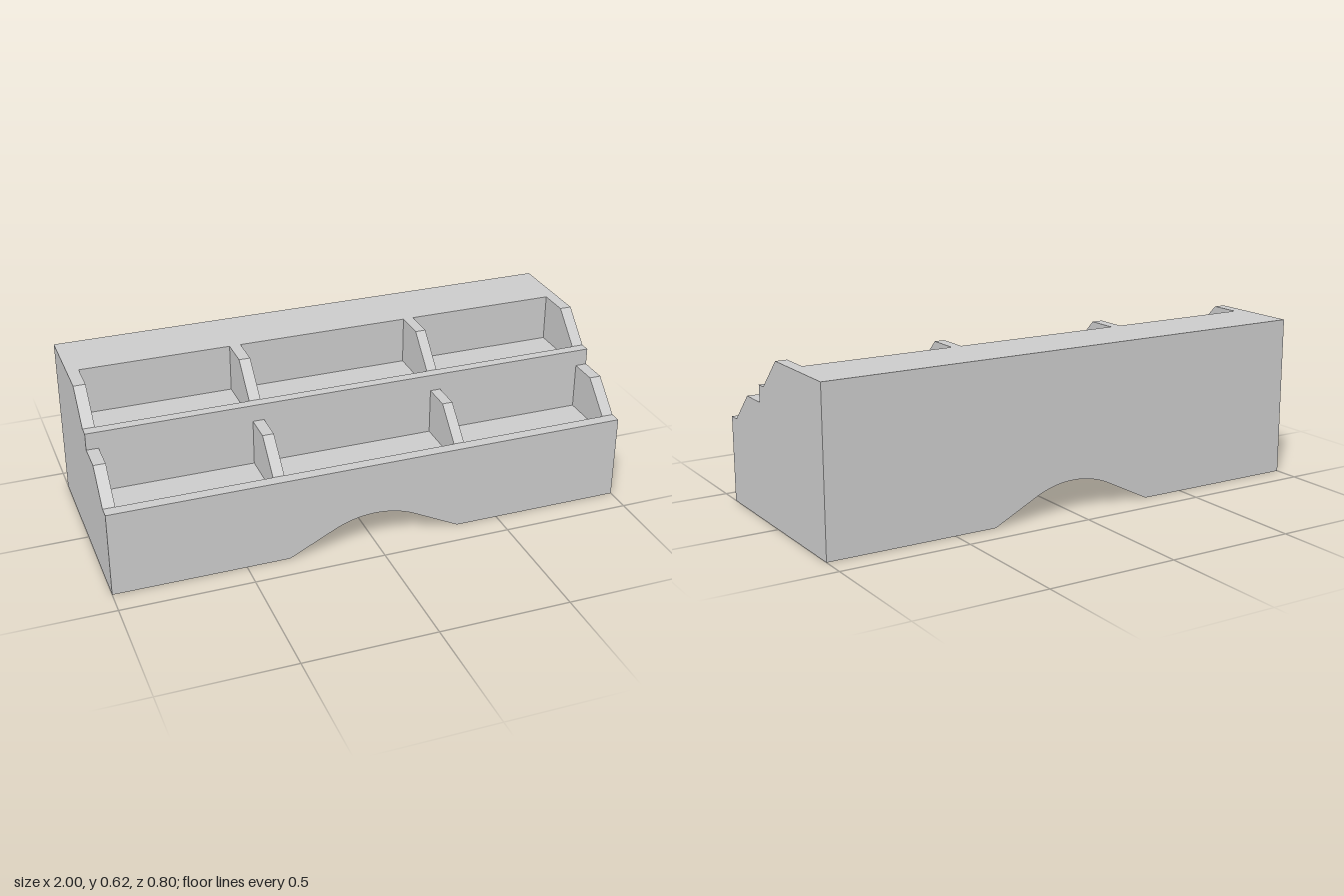
import * as THREE from 'three';
import { toCreasedNormals } from 'three/addons/utils/BufferGeometryUtils.js';

const material = new THREE.MeshStandardMaterial({ color: 0xcccccc });

function addMesh(group, name, geometry) {
  const mesh = new THREE.Mesh(geometry, material);
  mesh.name = name;
  group.add(mesh);
}

// Cross-section seen from the front: a flat-topped block with an arched cutout below
function archedBlock(top) {
  const radius = 0.36, peak = 0.125, half = Math.atan(0.5);
  const s = new THREE.Shape();
  s.moveTo(-1, top);
  s.lineTo(-1, 0);
  s.lineTo(-0.335, 0);
  s.absarc(0, peak - radius, radius, Math.PI / 2 + half, Math.PI / 2 - half, true);
  s.lineTo(0.335, 0);
  s.lineTo(1, 0);
  s.lineTo(1, top);
  s.closePath();
  return s;
}

// Divider outline in (z, y): sloped front edge, flat top
function dividerShape(front, slopeEnd, back, floor, lip, top) {
  return new THREE.Shape([
    new THREE.Vector2(front, floor),
    new THREE.Vector2(front, lip),
    new THREE.Vector2(slopeEnd, top),
    new THREE.Vector2(back, top),
    new THREE.Vector2(back, floor),
  ]);
}

export function createModel() {
  const model = new THREE.Group();
  model.name = 'steppedTrayStand';

  // Body, in steps from back to front: name, back z, front z, top y
  const steps = [
    ['backDeck', -0.4, -0.155, 0.622],
    ['upperTrayFloor', -0.155, 0.085, 0.44],
    ['upperLip', 0.085, 0.125, 0.507],
    ['lowerTrayFloor', 0.125, 0.355, 0.265],
    ['lowerLip', 0.355, 0.4, 0.33],
  ];
  for (const [name, back, front, top] of steps) {
    const g = new THREE.ExtrudeGeometry(archedBlock(top), {
      depth: front - back, bevelEnabled: false, curveSegments: 20,
    });
    g.translate(0, 0, back);
    addMesh(model, name, toCreasedNormals(g, 0.3));
  }

  // Dividers and end cheeks of both trays
  const tiers = [
    ['upperDivider', dividerShape(0.085, -0.032, -0.155, 0.44, 0.507, 0.622)],
    ['lowerDivider', dividerShape(0.355, 0.24, 0.125, 0.265, 0.33, 0.442)],
  ];
  const spans = [[-1, -0.955], [-0.38, -0.337], [0.33, 0.37], [0.955, 1]];
  for (const [name, shape] of tiers) {
    for (const [x0, x1] of spans) {
      const g = new THREE.ExtrudeGeometry(shape, { depth: x1 - x0, bevelEnabled: false });
      g.rotateY(-Math.PI / 2);
      g.translate(x1, 0, 0);
      addMesh(model, name, g);
    }
  }
  return model;
}
